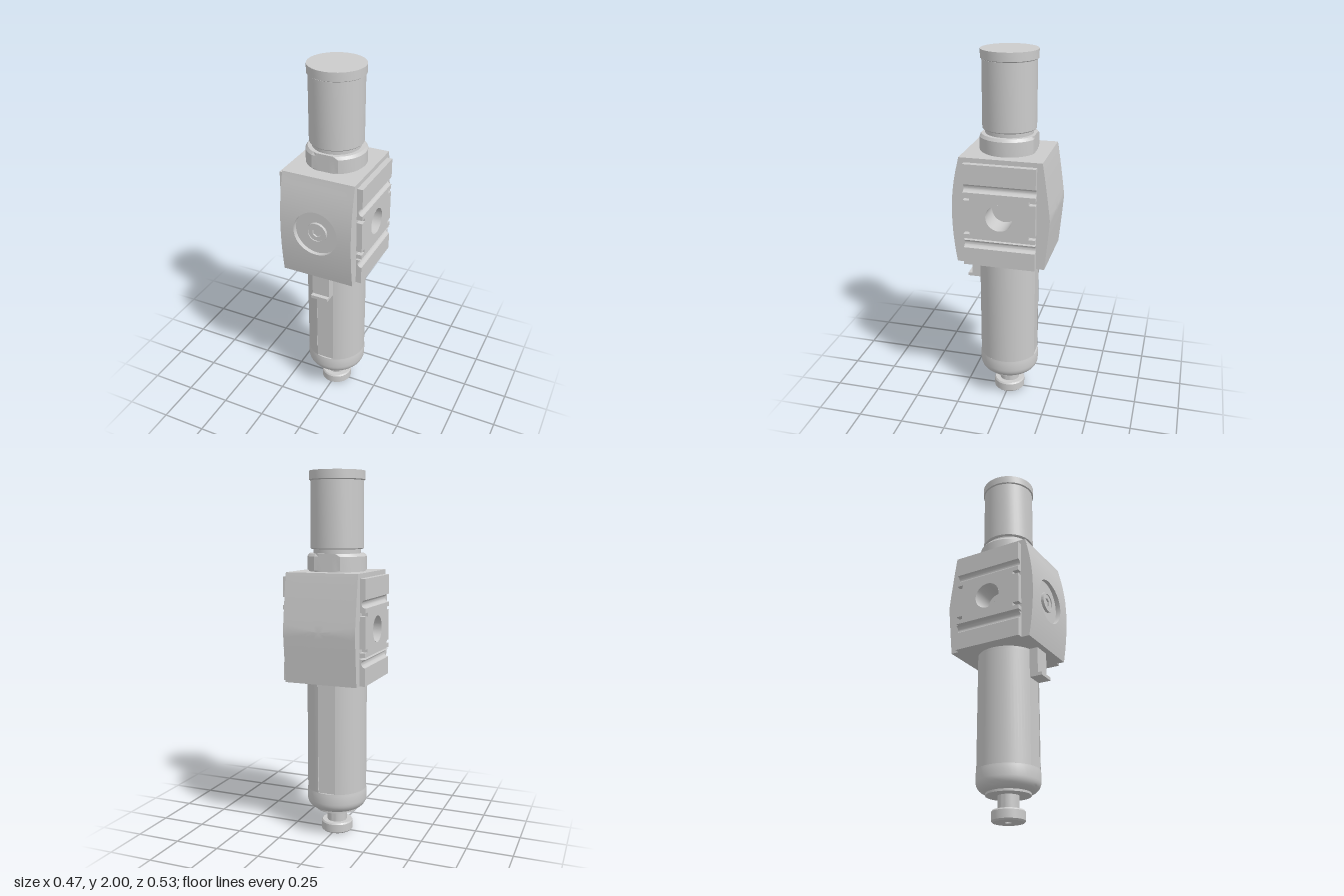
import * as THREE from 'three';
import { toCreasedNormals } from 'three/addons/utils/BufferGeometryUtils.js';
import { ParametricGeometry } from 'three/addons/geometries/ParametricGeometry.js';

const V2 = (x, y) => new THREE.Vector2(x, y);
const mat = new THREE.MeshStandardMaterial({ color: 0xcccccc, side: THREE.DoubleSide });
const CY = 1.17, TOP = 1.475, BOT = 0.89, W = 0.202;   // body centre height and limits
const DISH_R = 0.125, DISH_Z = 0.235, PORT_R = 0.072;

function add(parent, name, geo, x = 0, y = 0, z = 0) {
  const mesh = new THREE.Mesh(geo, mat);
  mesh.name = name;
  mesh.position.set(x, y, z);
  parent.add(mesh);
  return mesh;
}

// Turned part from [radius, y] pairs
function turned(points, start = 0, length = Math.PI * 2, segs = 40) {
  const g = new THREE.LatheGeometry(points.map(p => V2(...p)), segs, start, length);
  return toCreasedNormals(g, 0.5);
}

function extrude(shape, depth) {
  const g = new THREE.ExtrudeGeometry(shape, { depth, bevelEnabled: false, curveSegments: 32 });
  return toCreasedNormals(g, 0.5);
}

const circle = (r, x = 0, y = 0) => new THREE.Path().absarc(x, y, r, 0, Math.PI * 2, true);
const disc = r => new THREE.Shape().absarc(0, 0, r, 0, Math.PI * 2, false);

// Bulge of the body: curved at the front, folded at the back
function bulge(y, power) {
  if (y > 1.45) return 0.225 - (y - 1.45) * 0.2;
  const t = Math.abs(y - CY) / 0.28;
  return 0.263 - (y > CY ? 0.038 : 0.025) * Math.pow(t, power);
}
const frontZ = y => bulge(y, 2);
const backZ = y => -bulge(y, 1.1);

// Point on the rectangular outline of the body, counter-clockwise
const outline = [[W, CY], [W, TOP], [0, TOP], [-W, TOP], [-W, CY], [-W, BOT], [0, BOT], [W, BOT]].map(p => V2(...p));
function rim(u) {
  const s = (u % 1) * 8, i = Math.floor(s + 1e-6) % 8;
  return outline[i].clone().lerp(outline[(i + 1) % 8], Math.max(0, s - i));
}

function frontFace(u, v, target) {
  const k = Math.round(v * 9), p = rim(u), c = V2(0, CY);
  const hole = p.clone().sub(c).setLength(DISH_R).add(c);
  p.lerp(hole, Math.min(k / 7, 1));
  if (k === 9) p.copy(c);
  target.set(p.x, p.y, k < 8 ? frontZ(p.y) : DISH_Z);
}

function backFace(u, v, target) {
  const p = rim(1 - u).lerp(V2(0, CY), v);
  target.set(p.x, p.y, backZ(p.y));
}

function buildBody() {
  const body = new THREE.Group();
  body.name = 'body';
  add(body, 'dishedFront', toCreasedNormals(new ParametricGeometry(frontFace, 64, 9), 0.5));
  add(body, 'foldedBack', toCreasedNormals(new ParametricGeometry(backFace, 64, 8), 0.2));

  // Top and bottom closing plates
  for (const [name, y, dir] of [['bodyTop', TOP, -1], ['bodyBottom', BOT, 1]]) {
    const zf = frontZ(y), zb = backZ(y);
    add(body, name, new THREE.BoxGeometry(2 * W, 0.002, zf - zb), 0, y + dir * 0.001, (zf + zb) / 2);
  }

  // Flat cheeks following the bulge, open at the ports
  const pts = [], n = 28;
  const level = i => BOT + (TOP - BOT) * i / n;
  for (let i = 0; i <= n; i++) pts.push(V2(-frontZ(level(i)), level(i)));
  for (let i = n; i >= 0; i--) pts.push(V2(-backZ(level(i)), level(i)));
  const cheek = new THREE.Shape(pts);
  cheek.holes.push(circle(PORT_R, 0, CY));
  for (const x of [W, -W]) {
    add(body, 'cheek', new THREE.ShapeGeometry(cheek, 32), x).rotation.y = Math.PI / 2;
  }

  // Screw plug in the dish: rim and hex socket
  const ring = disc(0.057);
  ring.holes.push(circle(0.046));
  add(body, 'plugRim', extrude(ring, 0.016), 0, CY, DISH_Z);
  const core = disc(0.046);
  core.holes.push(new THREE.Path(Array.from({ length: 6 }, (_, i) =>
    V2(0.025 * Math.sin(i * Math.PI / 3), 0.025 * Math.cos(i * Math.PI / 3)))));
  add(body, 'plugSocket', extrude(core, 0.01), 0, CY, DISH_Z);
  return body;
}

// Port flange with two half-round grooves, made for the +x side
function buildFlange() {
  const flange = new THREE.Group();
  flange.name = 'portFlange';
  const x0 = 0.2, x1 = 0.233, hz = 0.193, r = 0.022;
  for (const [outer, groove, s] of [[BOT, 1.01, 1], [1.45, 1.32, -1]]) {
    const pts = [V2(x0, outer), V2(x1, outer)];
    for (let i = 0; i <= 12; i++) {
      const a = Math.PI * i / 12;
      pts.push(V2(x1 - r * Math.sin(a), groove - s * r * Math.cos(a)));
    }
    pts.push(V2(x0, groove + s * r));
    add(flange, 'grooveBar', extrude(new THREE.Shape(pts), 2 * hz), 0, 0, -hz);
  }

  // Middle pad with a slot at each corner and the port hole
  const quarter = [[hz, 0.085], [0.158, 0.085], [0.158, 0.104], [hz, 0.104], [hz, 0.128]];
  const back = [...quarter].reverse();
  const pad = new THREE.Shape([
    ...quarter, ...back.map(([a, b]) => [-a, b]),
    ...quarter.map(([a, b]) => [-a, -b]), ...back.map(([a, b]) => [a, -b]),
  ].map(p => V2(...p)));
  pad.holes.push(circle(PORT_R));
  add(flange, 'portPad', extrude(pad, x1 - x0), x0, CY, 0).rotation.y = Math.PI / 2;

  // Blind bore
  const bore = turned([[0, 0], [PORT_R, 0], [PORT_R, 0.133]]);
  add(flange, 'portBore', bore, 0.1, CY, 0).rotation.z = -Math.PI / 2;
  return flange;
}

function buildBowl() {
  const bowl = new THREE.Group();
  bowl.name = 'bowl';
  const R = 0.165, half = Math.asin(0.05 / R), low = 0.26, high = 0.875;

  // Rounded base
  const base = [[0, 0.143], [0.115, 0.143]];
  for (let i = 0; i <= 8; i++) {
    const a = Math.PI / 2 * i / 8;
    base.push([0.112 + 0.055 * Math.sin(a), 0.2 - 0.055 * Math.cos(a)]);
  }
  add(bowl, 'bowlBase', turned([...base, [0.167, 0.25], [R, low], [0.12, low]]));
  add(bowl, 'bowlRim', turned([[0.12, high], [R, high], [R, BOT + 0.005]]));

  // Wall halves with a flat sight window between them at front and back
  for (const start of [half, Math.PI + half]) {
    add(bowl, 'bowlWall', turned([[R, low], [R, high]], start, Math.PI - 2 * half, 24));
  }
  add(bowl, 'sightWindows', new THREE.BoxGeometry(0.1, high - low, 0.31), 0, (low + high) / 2, 0);

  // Release latch with a finger lip
  add(bowl, 'latch', new THREE.BoxGeometry(0.1, 0.15, 0.053), 0, 0.818, 0.1785);
  add(bowl, 'latchLip', new THREE.BoxGeometry(0.1, 0.018, 0.07), 0, 0.738, 0.193);

  // Drain collar, stem and knob with a small outlet
  add(bowl, 'drainCollar', turned([[0, 0.133], [0.118, 0.133], [0.118, 0.145], [0, 0.145]]));
  add(bowl, 'drainStem', turned([[0.055, 0.05], [0.055, 0.14]]));
  add(bowl, 'drainKnob', turned([[0, 0.035], [0.018, 0.035], [0.018, 0], [0.08, 0], [0.088, 0.008],
    [0.088, 0.052], [0.082, 0.06], [0, 0.06]]));
  return bowl;
}

function buildAdjuster() {
  const top = new THREE.Group();
  top.name = 'adjuster';

  // Collar with flats at front and back
  const collar = new THREE.LatheGeometry([[0, TOP], [0.152, TOP], [0.152, 1.483], [0.161, 1.483],
    [0.161, 1.555], [0.15, 1.57], [0, 1.57]].map(p => V2(...p)), 40);
  const pos = collar.attributes.position;
  for (let i = 0; i < pos.count; i++) pos.setZ(i, THREE.MathUtils.clamp(pos.getZ(i), -0.143, 0.143));
  add(top, 'collar', toCreasedNormals(collar, 0.4));

  add(top, 'neck', turned([[0.128, 1.565], [0.128, 1.6]]));
  add(top, 'knob', turned([[0.12, 1.593], [0.138, 1.593], [0.143, 1.598], [0.143, 1.95]]));
  add(top, 'knobCap', turned([[0.14, 1.95], [0.15, 1.955], [0.15, 2], [0, 2]]));
  return top;
}

export function createModel() {
  const model = new THREE.Group();
  model.name = 'filterRegulator';
  const left = buildFlange(), right = buildFlange();
  right.rotation.y = Math.PI;
  model.add(buildBody(), left, right, buildBowl(), buildAdjuster());
  return model;
}
